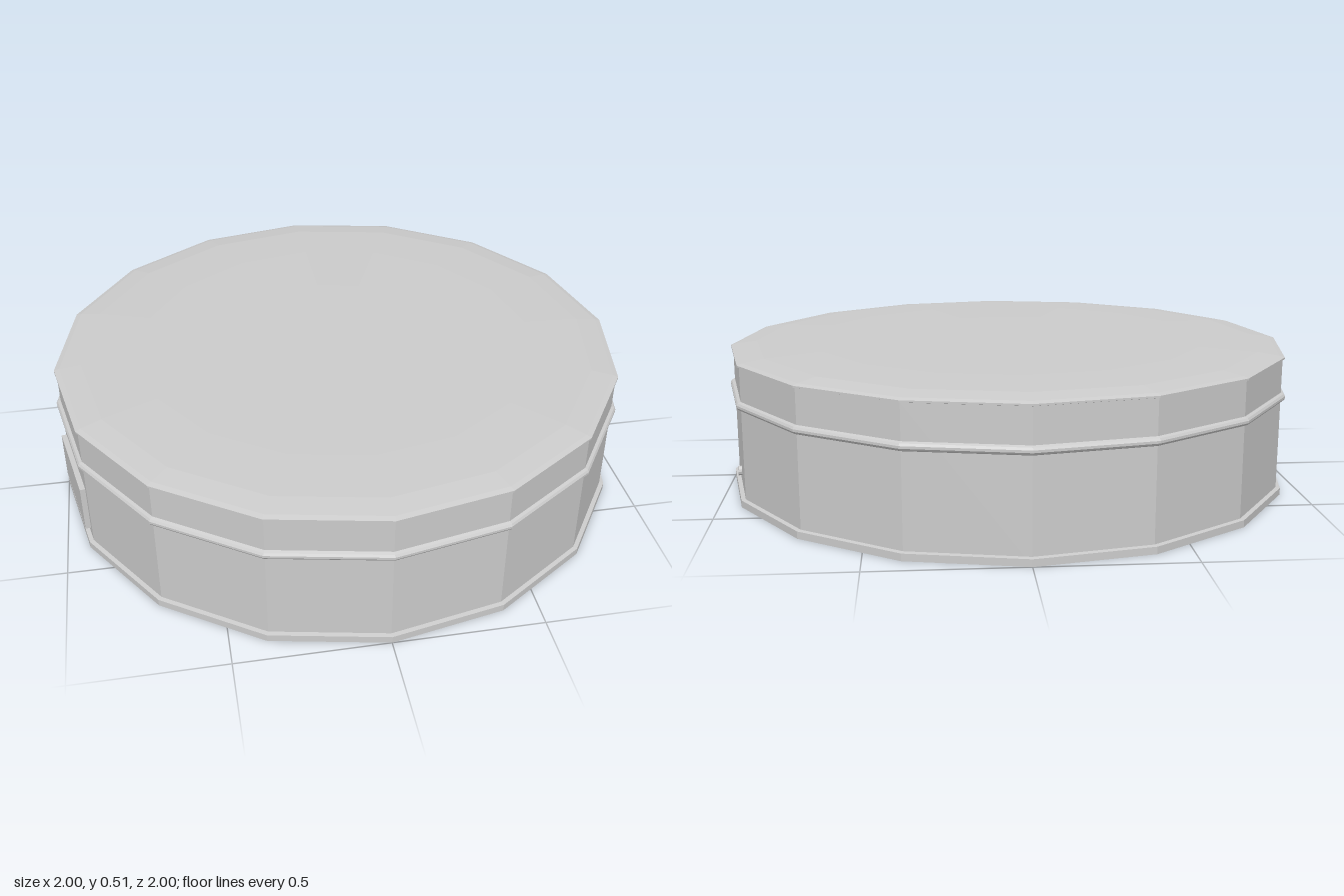
import * as THREE from 'three';

const SIDES = 16;
const R = 0.985; // wall radius at the corners
const APOTHEM = R * Math.cos(Math.PI / SIDES);

const material = new THREE.MeshStandardMaterial({
  color: 0xcccccc, flatShading: true, side: THREE.DoubleSide,
});

// Sixteen-sided ring or shell from a [radius, height] profile
function turned(name, profile) {
  const points = profile.map(([r, y]) => new THREE.Vector2(r, y));
  const mesh = new THREE.Mesh(new THREE.LatheGeometry(points, SIDES), material);
  mesh.name = name;
  return mesh;
}

// Puts a part on the middle of a wall panel, its own z axis pointing outward
function onPanel(name, geometry, angle, y, depth) {
  const mesh = new THREE.Mesh(geometry, material);
  mesh.name = name;
  const d = APOTHEM + depth;
  mesh.position.set(d * Math.sin(angle), y, d * Math.cos(angle));
  mesh.rotation.y = angle;
  return mesh;
}

export function createModel() {
  const model = new THREE.Group();
  model.name = 'roundTin';

  // Thin wall, open underneath
  model.add(turned('wall', [[R, 0], [R, 0.48]]));

  // Flat band around the foot
  model.add(turned('footBand', [[R, 0], [1, 0], [1, 0.024], [R, 0.026]]));

  // Rounded bead where the lid meets the body
  model.add(turned('bead', [
    [R, 0.333], [0.995, 0.337], [1, 0.344], [1, 0.352], [0.995, 0.359], [R, 0.363],
  ]));

  // Gently domed lid with a narrow lip
  model.add(turned('lid', [
    [R, 0.478], [0.992, 0.48], [0.992, 0.486], [0.974, 0.491],
    [0.9, 0.5], [0.7, 0.507], [0.4, 0.511], [0, 0.513],
  ]));

  const halfPanel = Math.PI / SIDES;

  // Raised rectangular plate on the right side
  const plate = new THREE.BoxGeometry(0.335, 0.168, 0.018);
  model.add(onPanel('plate', plate, -Math.PI / 2 + halfPanel, 0.146, 0.0095));

  // Small round stud on the left side
  const stud = new THREE.CylinderGeometry(0.017, 0.017, 0.012, 12).rotateX(Math.PI / 2);
  model.add(onPanel('stud', stud, Math.PI / 2 + halfPanel, 0.072, 0.0065));

  return model;
}
